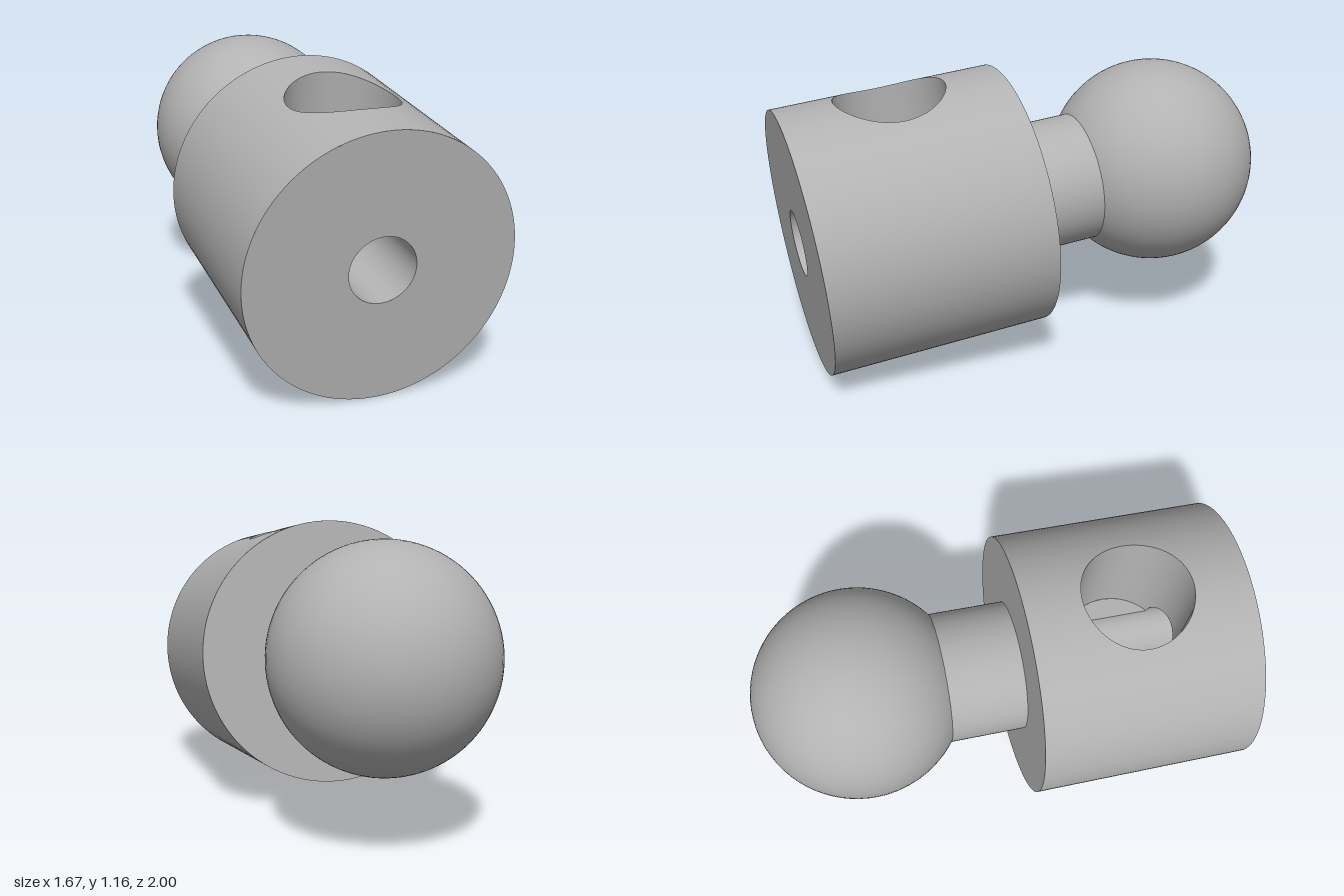
import * as THREE from 'three';

// Local frame: +z runs along the axis to the front face, +y along the cross hole.
const R = 0.533, HALF = 0.445;      // body radius and half length
const CROSS = 0.22, BORE = 0.133;   // cross hole and axial bore radii
const NECK = 0.265, BALL = 0.425, BALL_Z = -1.083;
const half = (r, x) => Math.sqrt(Math.max(0, r * r - x * x));

// Smooth strip ruled between two curves, each a function of t from t0 to t1
function ruled(a, b, t0, t1, n, normal) {
  const pos = [], nor = [], idx = [];
  const pts = [];
  for (let i = 0; i <= n; i++) {
    const t = t0 + (t1 - t0) * i / n;
    for (const p of [a(t), b(t)]) {
      pts.push(new THREE.Vector3(...p));
      pos.push(...p);
      nor.push(...normal(t));
    }
  }
  // turn every triangle to agree with its normal
  const tri = (i, j, k) => {
    const e = pts[j].clone().sub(pts[i]).cross(pts[k].clone().sub(pts[i]));
    const facing = e.dot(new THREE.Vector3().fromArray(nor, i * 3)
      .add(new THREE.Vector3().fromArray(nor, j * 3)));
    idx.push(...(facing < 0 ? [i, k, j] : [i, j, k]));
  };
  for (let i = 0; i < n; i++) {
    const k = 2 * i;
    tri(k, k + 1, k + 2);
    tri(k + 1, k + 3, k + 2);
  }
  const g = new THREE.BufferGeometry();
  g.setAttribute('position', new THREE.Float32BufferAttribute(pos, 3));
  g.setAttribute('normal', new THREE.Float32BufferAttribute(nor, 3));
  g.setIndex(idx);
  return g;
}

export function createModel() {
  const metal = new THREE.MeshStandardMaterial({ color: 0xb2b2b2, side: THREE.DoubleSide });
  metal.name = 'grey metal';
  const model = new THREE.Group();
  model.name = 'ballStud';
  const body = new THREE.Group();
  body.name = 'body';
  const neckAndBall = new THREE.Group();
  neckAndBall.name = 'neckAndBall';
  model.add(body, neckAndBall);
  const add = (group, name, geometry) => {
    const mesh = new THREE.Mesh(geometry, metal);
    mesh.name = name;
    group.add(mesh);
    return mesh;
  };
  const { sin, cos, PI } = Math;

  // Outer wall, leaving out the strip that holds the cross hole
  const edge = Math.asin(CROSS / R);
  add(body, 'outerWall', ruled(
    t => [R * sin(t), R * cos(t), HALF],
    t => [R * sin(t), R * cos(t), -HALF],
    edge, 2 * PI - edge, 96, t => [sin(t), cos(t), 0]));

  // Outer wall in front of and behind the cross hole
  for (const s of [1, -1]) {
    const at = (t, z) => [CROSS * cos(t), half(R, CROSS * cos(t)), z];
    add(body, s > 0 ? 'topWallFront' : 'topWallBack', ruled(
      t => at(t, s * CROSS * sin(t)), t => at(t, s * HALF),
      0, PI, 64, t => [CROSS * cos(t) / R, half(R, CROSS * cos(t)) / R, 0]));
  }

  // End faces
  const frontShape = new THREE.Shape().absarc(0, 0, R, 0, 2 * PI);
  frontShape.holes.push(new THREE.Path().absarc(0, 0, BORE, 0, 2 * PI, true));
  add(body, 'frontFace', new THREE.ShapeGeometry(frontShape, 96)).position.z = HALF;
  const back = add(body, 'backFace', new THREE.CircleGeometry(R, 96));
  back.rotation.y = PI;
  back.position.z = -HALF;

  // Cross hole wall: opened by the bore in front, deepened by its groove behind
  const wallFoot = t => Math.sign(sin(t)) * half(BORE, CROSS * cos(t));
  add(body, 'crossHoleWall', ruled(
    t => [CROSS * cos(t), half(R, CROSS * cos(t)), CROSS * sin(t)],
    t => [CROSS * cos(t), wallFoot(t), CROSS * sin(t)],
    0, 2 * PI, 192, t => [-cos(t), 0, -sin(t)]));

  // Cross hole floor, on both sides of the groove
  for (const s of [1, -1]) {
    add(body, 'crossHoleFloor', ruled(
      x => [s * x, 0, half(CROSS, x)], x => [s * x, 0, -half(CROSS, x)],
      BORE, CROSS, 24, () => [0, 1, 0]));
  }

  // Axial bore: upper half stops at the cross hole, lower half runs on as a groove
  for (const s of [1, -1]) {
    const at = (t, z) => [BORE * cos(t), s * BORE * sin(t), z];
    add(body, s > 0 ? 'boreTop' : 'boreGroove', ruled(
      t => at(t, HALF), t => at(t, s * half(CROSS, BORE * cos(t))),
      0, PI, 48, t => [-cos(t), -s * sin(t), 0]));
  }

  // Neck and ball
  add(neckAndBall, 'neck', ruled(
    t => [NECK * sin(t), NECK * cos(t), -HALF],
    t => [NECK * sin(t), NECK * cos(t), BALL_Z + half(BALL, NECK) - 0.01],
    0, 2 * PI, 72, t => [sin(t), cos(t), 0]));
  add(neckAndBall, 'ball', new THREE.SphereGeometry(BALL, 72, 48)).position.z = BALL_Z;

  // Tilt the axis into place
  const forward = new THREE.Vector3(-0.52, -0.108, 0.8475).normalize();
  const side = new THREE.Vector3(0, 1, 0).cross(forward).normalize();
  const up = forward.clone().cross(side);
  model.quaternion.setFromRotationMatrix(new THREE.Matrix4().makeBasis(side, up, forward));
  model.position.set(-0.153, 0.578, 0.343);

  const root = new THREE.Group();
  root.name = 'ballStudModel';
  root.add(model);
  return root;
}
